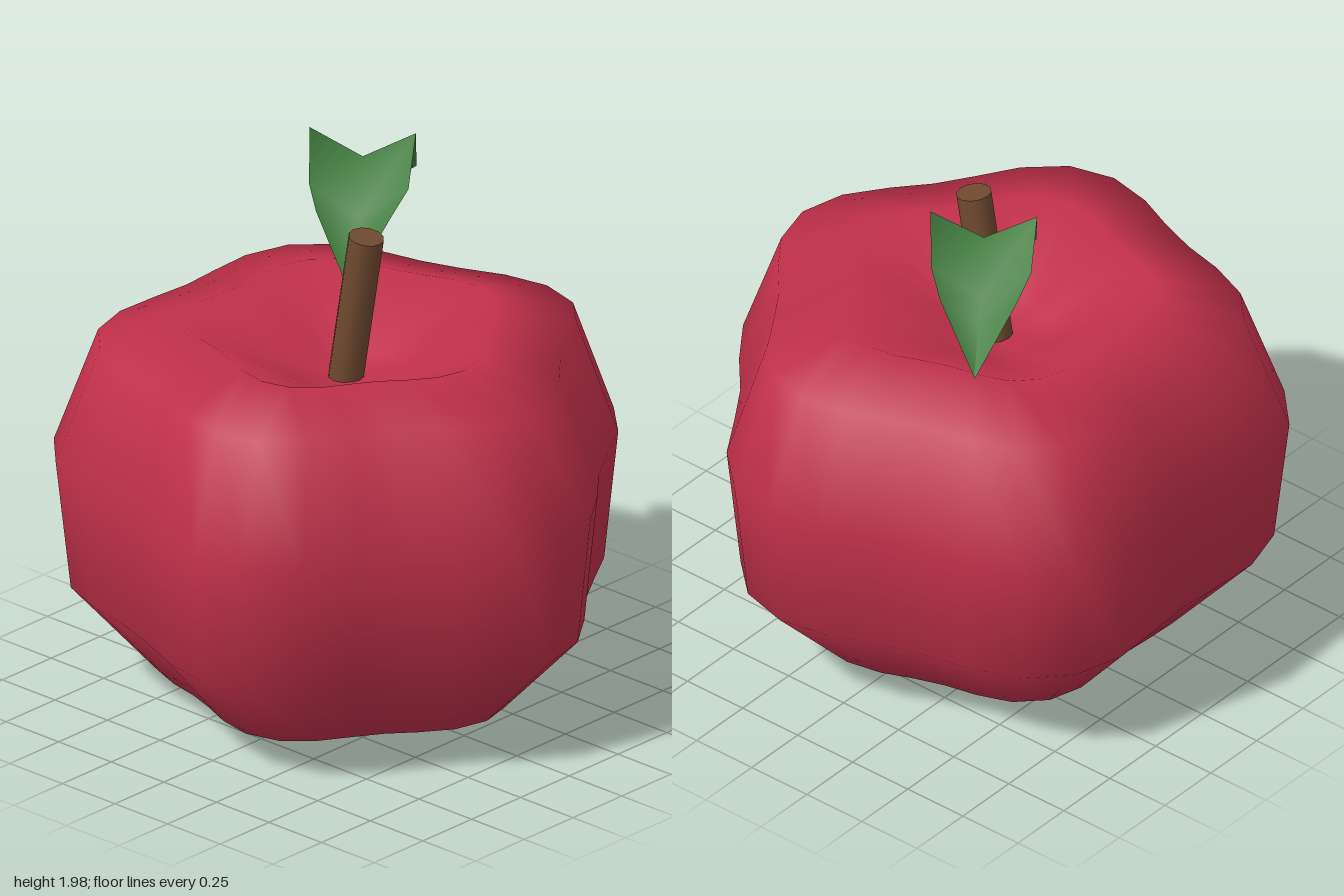
import * as THREE from 'three';
import { mergeVertices } from 'three/addons/utils/BufferGeometryUtils.js';

const CX = -0.0625; // axis of the fruit

function makeMesh(name, geometry, color, side = THREE.FrontSide) {
  const mesh = new THREE.Mesh(geometry, new THREE.MeshStandardMaterial({ color, side }));
  mesh.name = name;
  return mesh;
}

// Lathed body pushed into five soft lobes, with a dip on top
function bodyGeometry() {
  const profile = [
    [0, 0.02], [0.13, 0], [0.65, 0.09], [0.948, 0.41], [1, 0.89],
    [0.848, 1.32], [0.55, 1.4], [0.2, 1.22], [0, 1.2],
  ].map(([r, y]) => new THREE.Vector2(r, y));
  let geometry = new THREE.LatheGeometry(profile, 32);
  const pos = geometry.attributes.position;
  for (let i = 0; i < pos.count; i++) {
    const x = pos.getX(i), z = pos.getZ(i);
    const lobe = 0.9625 + 0.07 * Math.cos(5 * Math.atan2(z, x));
    pos.setX(i, x * lobe);
    pos.setZ(i, z * lobe);
  }
  geometry.deleteAttribute('uv');
  geometry.deleteAttribute('normal');
  geometry = mergeVertices(geometry, 1e-4);
  geometry.computeVertexNormals();
  return geometry;
}

// Folded leaf: V-shaped sections (t along axis, half width, edge y, midrib y)
function leafGeometry() {
  const sections = [
    [0, 0.004, 1.54, 1.53], [0.2, 0.135, 1.76, 1.65], [0.36, 0.175, 1.81, 1.69],
    [0.5, 0.187, 1.98, 1.88],
    [0.64, 0.175, 1.81, 1.69], [0.8, 0.135, 1.76, 1.65], [1, 0.004, 1.54, 1.53],
  ];
  const start = new THREE.Vector2(-0.06, -0.01), end = new THREE.Vector2(-0.47, -0.6);
  const axis = end.clone().sub(start).normalize();
  const points = [], index = [];
  sections.forEach(([t, w, edgeY, midY], i) => {
    const c = start.clone().lerp(end, t);
    for (const s of [-1, 0, 1]) {
      points.push(c.x + s * w * axis.y, s ? edgeY : midY, c.y - s * w * axis.x);
    }
    if (i === 0) return;
    for (let k = 0; k < 2; k++) {
      const a = (i - 1) * 3 + k, b = a + 3;
      index.push(a, a + 1, b, a + 1, b + 1, b);
    }
  });
  const geometry = new THREE.BufferGeometry();
  geometry.setAttribute('position', new THREE.Float32BufferAttribute(points, 3));
  geometry.setIndex(index);
  geometry.computeVertexNormals();
  return geometry;
}

export function createModel() {
  const group = new THREE.Group();
  group.name = 'apple';

  const body = makeMesh('appleBody', bodyGeometry(), 0xc0304a);
  body.position.x = CX;

  // Leaning stem rising from the dip
  const base = new THREE.Vector3(CX, 1.2, 0), tip = new THREE.Vector3(0.035, 1.765, 0);
  const dir = tip.clone().sub(base);
  const stem = makeMesh('stem', new THREE.CylinderGeometry(0.063, 0.063, dir.length(), 12), 0x704a30);
  stem.position.copy(base).add(tip).multiplyScalar(0.5);
  stem.quaternion.setFromUnitVectors(new THREE.Vector3(0, 1, 0), dir.normalize());

  const leaf = makeMesh('leaf', leafGeometry(), 0x457f42, THREE.DoubleSide);

  group.add(body, stem, leaf);
  return group;
}
